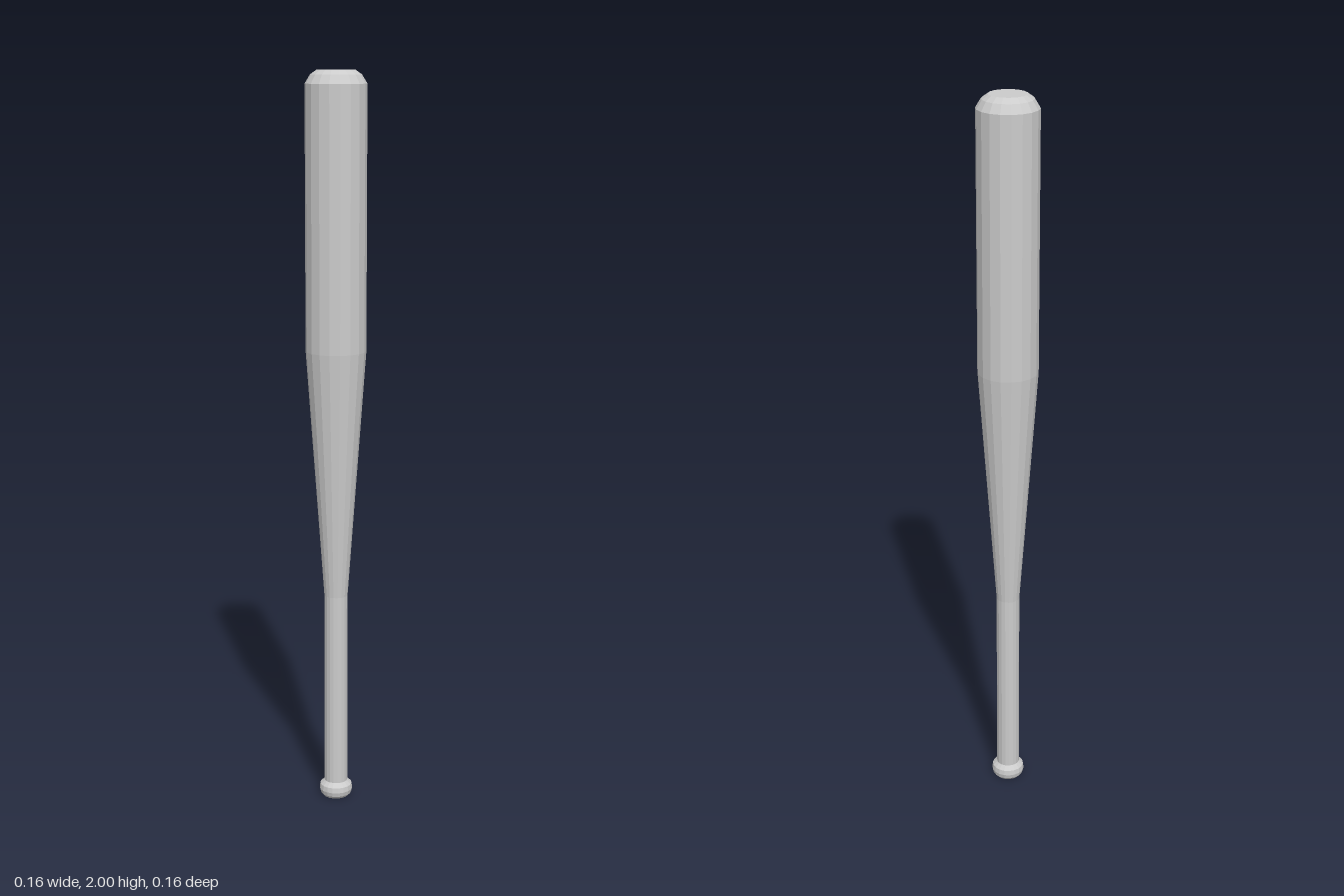
import * as THREE from 'three';

const SIDES = 18;

export function createModel() {
  const group = new THREE.Group();
  group.name = 'bat';
  const material = new THREE.MeshStandardMaterial({ color: 0xcccccc, flatShading: true });

  // Turns a [radius, height] profile, listed from bottom to top
  const turn = (name, profile) => {
    const points = profile.map(([r, y]) => new THREE.Vector2(r, y));
    const mesh = new THREE.Mesh(new THREE.LatheGeometry(points, SIDES, Math.PI / 2), material);
    mesh.name = name;
    group.add(mesh);
  };

  // Rounded knob at the foot of the handle
  turn('knob', [[0, 0], [0.036, 0], [0.043, 0.008], [0.046, 0.02], [0.044, 0.034], [0.032, 0.045]]);

  // Straight grip
  turn('handle', [[0.032, 0.045], [0.032, 0.59]]);

  // Widening middle
  turn('taper', [[0.032, 0.59], [0.081, 1.27]]);

  // Straight barrel with a rounded shoulder and flat end
  turn('barrel', [[0.081, 1.27], [0.081, 1.965], [0.067, 1.988], [0.05, 2], [0, 2]]);

  return group;
}
